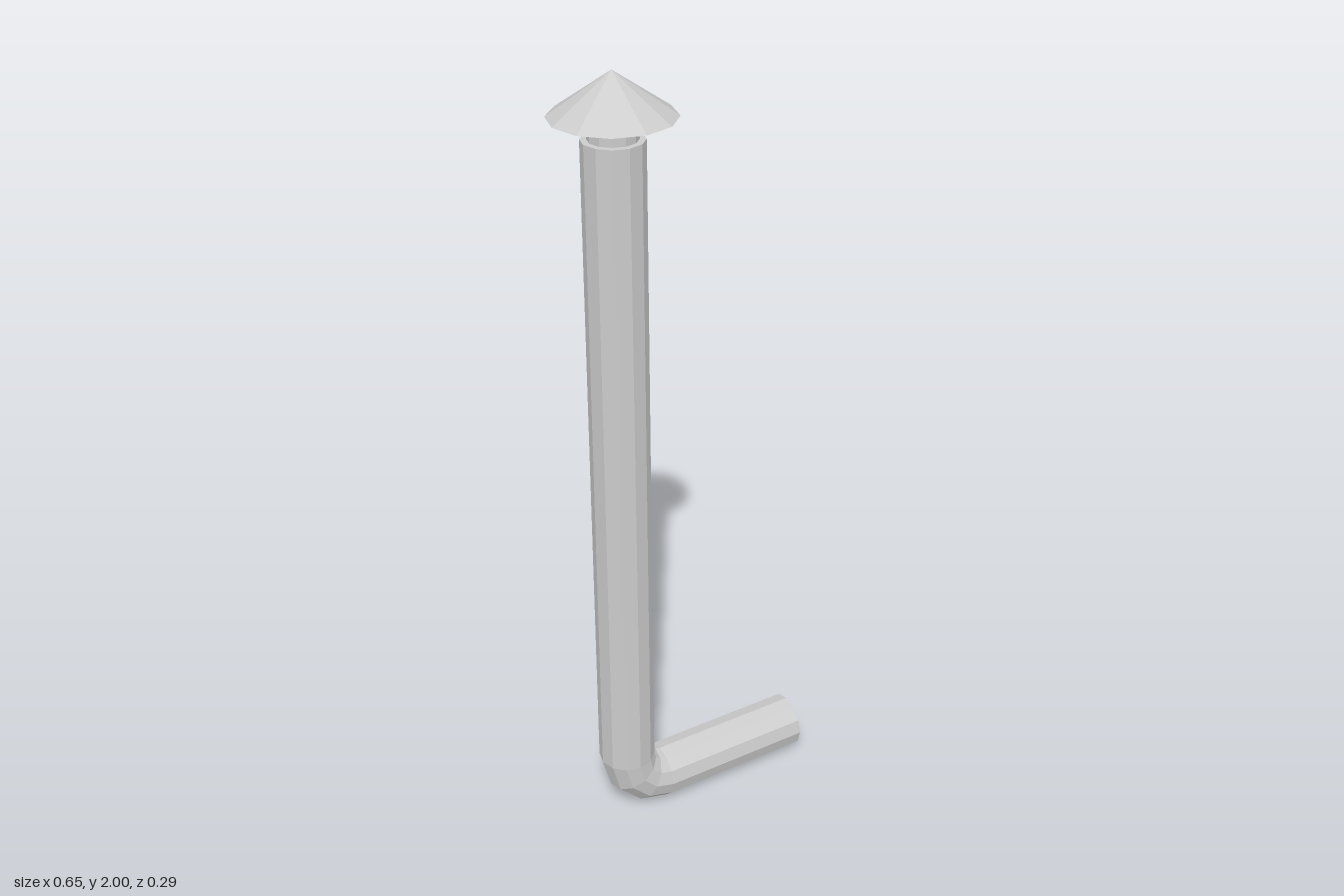
import * as THREE from 'three';

const SIDES = 12;
const PIPE_X = -0.182, PIPE_R = 0.072, BEND_R = 0.1, BEND_Y = 0.174;
const TOP_Y = 1.85, END_X = 0.325;

const material = new THREE.MeshStandardMaterial({ color: 0xcccccc, flatShading: true, side: THREE.DoubleSide });

function addPart(group, name, geometry, x = 0, y = 0) {
  const mesh = new THREE.Mesh(geometry, material);
  mesh.name = name;
  mesh.position.set(x, y, 0);
  group.add(mesh);
  return mesh;
}

// Open round pipe swept through stations { x, y, a }, where a is the turn from vertical
function sweepPipe(stations) {
  const positions = [], indices = [];
  for (const { x, y, a } of stations) {
    for (let j = 0; j < SIDES; j++) {
      const t = (j / SIDES) * Math.PI * 2;
      const out = PIPE_R * Math.cos(t);
      positions.push(x - out * Math.cos(a), y - out * Math.sin(a), PIPE_R * Math.sin(t));
    }
  }
  for (let i = 0; i < stations.length - 1; i++) {
    for (let j = 0; j < SIDES; j++) {
      const k = (j + 1) % SIDES;
      const p = i * SIDES + j, q = i * SIDES + k;
      indices.push(p, p + SIDES, q, q, p + SIDES, q + SIDES);
    }
  }
  const geometry = new THREE.BufferGeometry();
  geometry.setAttribute('position', new THREE.Float32BufferAttribute(positions, 3));
  geometry.setIndex(indices);
  const flat = geometry.toNonIndexed();
  flat.computeVertexNormals();
  return flat;
}

export function createModel() {
  const group = new THREE.Group();
  group.name = 'chimneyPipe';

  // Upright pipe, three-segment elbow and open horizontal outlet
  const bend = [];
  for (let i = 0; i <= 3; i++) {
    const a = (i / 3) * Math.PI / 2;
    bend.push({
      x: PIPE_X + BEND_R * (1 - Math.cos(a)),
      y: BEND_Y - BEND_R * Math.sin(a),
      a,
    });
  }
  addPart(group, 'uprightPipe', sweepPipe([{ x: PIPE_X, y: TOP_Y, a: 0 }, bend[0]]));
  addPart(group, 'elbow', sweepPipe(bend));
  addPart(group, 'outletPipe', sweepPipe([bend[3], { x: END_X, y: bend[3].y, a: Math.PI / 2 }]));

  // Shoulder closing the pipe around the narrower neck
  const shoulder = new THREE.RingGeometry(0.057, PIPE_R, SIDES, 1).rotateX(-Math.PI / 2);
  addPart(group, 'shoulder', shoulder, PIPE_X, TOP_Y);
  addPart(group, 'neck', new THREE.CylinderGeometry(0.057, 0.057, 0.05, SIDES, 1, true), PIPE_X, 1.875);

  // Conical rain cap
  addPart(group, 'rainCap', new THREE.ConeGeometry(0.144, 0.1, SIDES), PIPE_X, 1.95);

  return group;
}
